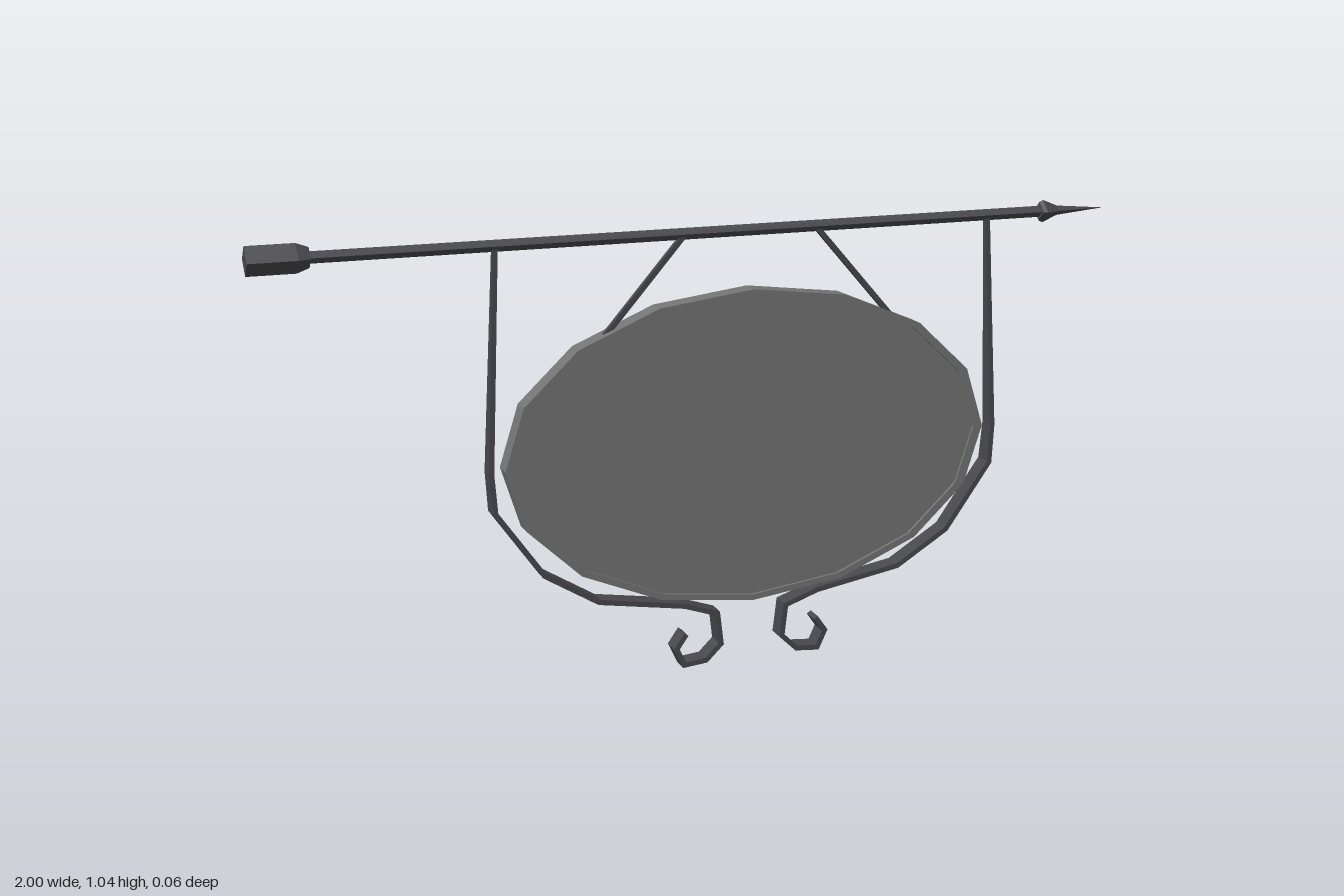
import * as THREE from 'three';

const CX = 0.11, CY = 0.514; // centre of the oval board
const ROD_Y = 1.01;

const iron = new THREE.MeshStandardMaterial({ color: 0x48484d, flatShading: true });
iron.name = 'dark iron';
const board = new THREE.MeshStandardMaterial({ color: 0x747474, flatShading: true });
board.name = 'grey board';

function add(group, name, geometry, material) {
  const mesh = new THREE.Mesh(geometry, material);
  mesh.name = name;
  group.add(mesh);
  return mesh;
}

// Four-sided turned piece lying along x; profile is [x, radius]
function spindle(profile) {
  const pts = profile.map(([x, r]) => new THREE.Vector2(r, x));
  return new THREE.LatheGeometry(pts, 4).rotateZ(-Math.PI / 2);
}

// Flat strip swept along [x, y, halfDepth] points, with mitred joints
function strip(path, half) {
  const rings = path.map(([x, y, d], i) => {
    const dir = (a, b) => new THREE.Vector2(b[0] - a[0], b[1] - a[1]).normalize();
    const before = i > 0 ? dir(path[i - 1], path[i]) : dir(path[0], path[1]);
    const after = i < path.length - 1 ? dir(path[i], path[i + 1]) : before;
    const t = before.clone().add(after).normalize();
    const w = half / Math.max(0.5, t.dot(after));
    return [[1, 1], [-1, 1], [-1, -1], [1, -1]].map(([n, z]) => [x - t.y * n * w, y + t.x * n * w, z * d]);
  });
  const pos = [];
  const quad = (a, b, c, d) => [a, b, c, a, c, d].forEach((p) => pos.push(...p));
  for (let i = 0; i < rings.length - 1; i++) {
    for (let k = 0; k < 4; k++) {
      const j = (k + 1) % 4;
      quad(rings[i][k], rings[i][j], rings[i + 1][j], rings[i + 1][k]);
    }
  }
  const first = rings[0];
  quad(first[3], first[2], first[1], first[0]);
  quad(...rings[rings.length - 1]);
  const g = new THREE.BufferGeometry();
  g.setAttribute('position', new THREE.Float32BufferAttribute(pos, 3));
  g.computeVertexNormals();
  return g;
}

// Sixteen-sided oval outline
function oval(rx, ry) {
  return Array.from({ length: 16 }, (_, i) => {
    const a = (i / 16) * Math.PI * 2;
    return new THREE.Vector2(Math.cos(a) * rx, Math.sin(a) * ry);
  });
}

export function createModel() {
  const model = new THREE.Group();
  model.name = 'hangingSign';

  // Horizontal pole with a block at one end and a spear point at the other
  const pole = new THREE.Group();
  pole.name = 'pole';
  pole.position.y = ROD_Y;
  model.add(pole);
  add(pole, 'rod', spindle([[-0.88, 0.013], [0.84, 0.013]]), iron);
  add(pole, 'endBlock', spindle([[-1, 0], [-1, 0.032], [-0.895, 0.032], [-0.868, 0.022], [-0.868, 0]]), iron);
  add(pole, 'spearPoint', spindle([[0.832, 0], [0.832, 0.022], [0.842, 0.026], [0.878, 0.011], [1, 0]]), iron);

  // Oval board: raised rim around a slightly sunken panel
  const sign = new THREE.Group();
  sign.name = 'sign';
  sign.position.set(CX, CY, 0);
  model.add(sign);
  const rimShape = new THREE.Shape(oval(0.58, 0.366));
  rimShape.holes.push(new THREE.Path(oval(0.558, 0.352)));
  const rim = new THREE.ExtrudeGeometry(rimShape, { depth: 0.048, bevelEnabled: false });
  add(sign, 'rim', rim.translate(0, 0, -0.024), board);
  const panel = new THREE.ExtrudeGeometry(new THREE.Shape(oval(0.56, 0.353)), { depth: 0.034, bevelEnabled: false });
  add(sign, 'panel', panel.translate(0, 0, -0.017), board);

  // Scrolled straps and short stays, as offsets from the board's centre line
  const strap = [
    [0.585, 1.01, 0.005], [0.61, 0.51, 0.019], [0.604, 0.42, 0.022], [0.495, 0.265, 0.022],
    [0.37, 0.188, 0.022], [0.165, 0.153, 0.022], [0.085, 0.125, 0.022], [0.076, 0.05, 0.022],
    [0.113, 0.014, 0.022], [0.166, 0.009, 0.022], [0.185, 0.05, 0.022], [0.162, 0.083, 0.022],
  ];
  const stay = [[0.155, 1.01, 0.006], [0.356, 0.78, 0.006]];
  for (const [side, s] of [['left', 1], ['right', -1]]) {
    const place = (path) => path.map(([x, y, d]) => [CX + s * x, y, d]);
    add(model, side + 'Strap', strip(place(strap), 0.006), iron);
    add(model, side + 'Stay', strip(place(stay), 0.006), iron);
  }
  return model;
}
